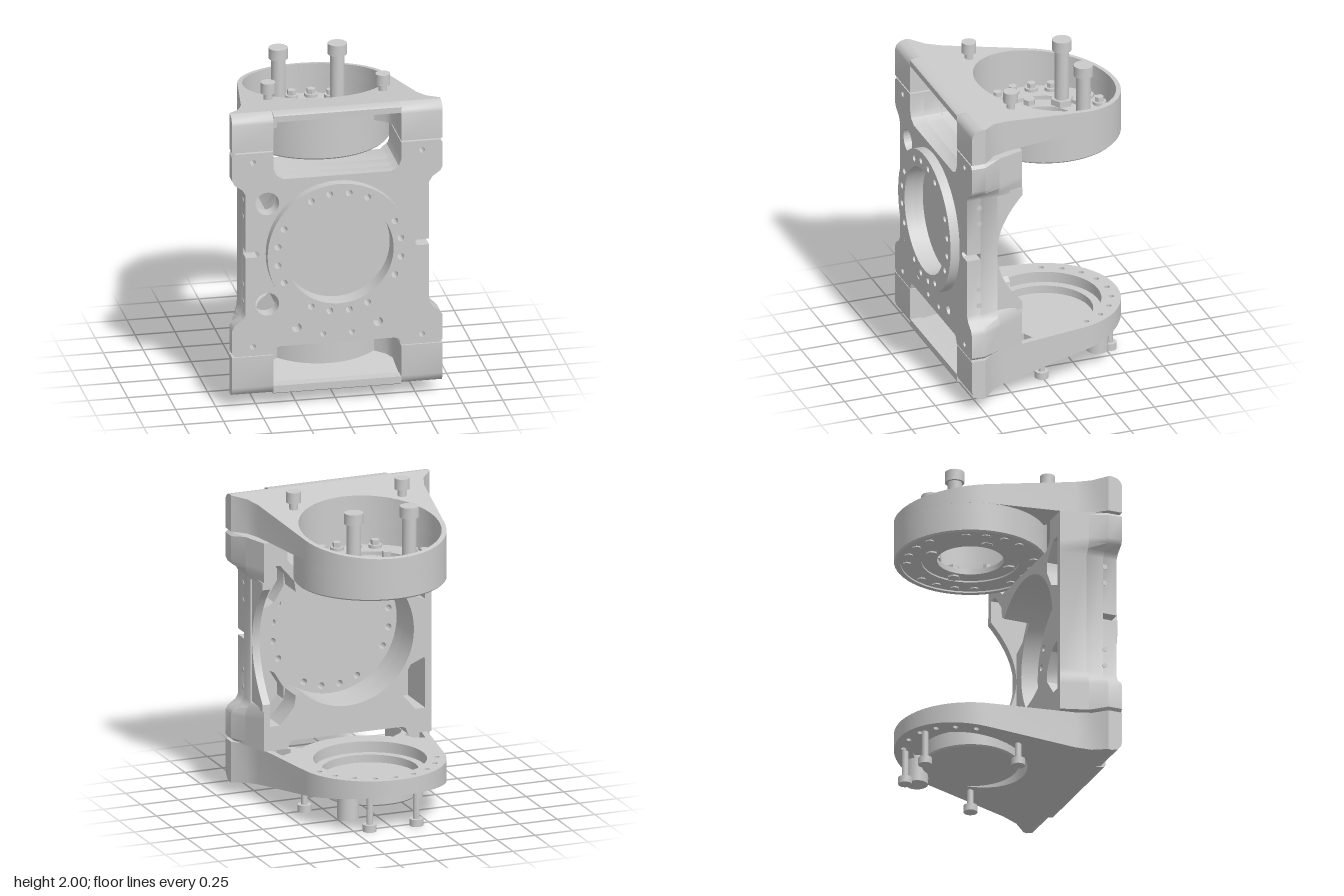
import * as THREE from 'three';
import { toCreasedNormals } from 'three/addons/utils/BufferGeometryUtils.js';

const MID = 1.015;      // height of the horizontal symmetry plane
const DZ = -0.16;       // z of the two joint axes
const BOLT_ANGLES = [9, 27, 63, 81, 99, 117, 153, 171, 189, 207, 243, 261, 279, 297, 333, 351]
  .map((a) => a * Math.PI / 180);

export function createModel() {
  const model = new THREE.Group();
  const mat = new THREE.MeshStandardMaterial({ color: 0xcccccc, side: THREE.DoubleSide });

  const add = (name, geo, parent) => {
    const mesh = new THREE.Mesh(toCreasedNormals(geo, 0.6), mat);
    mesh.name = name;
    parent.add(mesh);
  };
  const group = (name) => {
    const g = new THREE.Group();
    g.name = name;
    model.add(g);
    return g;
  };
  const poly = (pts) => new THREE.Shape(pts.map(([x, y]) => new THREE.Vector2(x, y)));
  const circle = (x, y, r) => new THREE.Path().absarc(x, y, r, 0, Math.PI * 2, true);
  const mirrorX = (half) => half.map(([x, y]) => [-x, y]).reverse();
  const mirrored = (half) => [...half, ...mirrorX(half)];
  const flipY = (pts) => pts.map(([x, y]) => [x, 2 * MID - y]).reverse();
  const arc = (cx, cy, r, a0, a1, n) => Array.from({ length: n + 1 }, (_, i) => {
    const a = a0 + (a1 - a0) * i / n;
    return [cx + r * Math.cos(a), cy + r * Math.sin(a)];
  });
  const move = (geo, rule) => {
    const p = geo.attributes.position;
    const v = new THREE.Vector3();
    for (let i = 0; i < p.count; i++) {
      rule(v.fromBufferAttribute(p, i));
      p.setXYZ(i, v.x, v.y, v.z);
    }
    return geo;
  };
  // slab standing between two z values
  const slabZ = (shape, z0, z1) =>
    new THREE.ExtrudeGeometry(shape, { depth: z1 - z0, bevelEnabled: false, curveSegments: 32 }).translate(0, 0, z0);
  // slab lying between two height functions of z, from a shape drawn in (x, z)
  const slabY = (shape, top, bottom) => move(
    new THREE.ExtrudeGeometry(shape, { depth: 1, bevelEnabled: false, curveSegments: 32 }).rotateX(Math.PI / 2),
    (v) => { v.y = v.y > -0.5 ? top(v.z) : bottom(v.z); });
  // slab between two x values, from points (z, y)
  const slabX = (pts, x0, x1) => new THREE.ExtrudeGeometry(poly(pts), { depth: x1 - x0, bevelEnabled: false })
    .rotateY(-Math.PI / 2).translate(x1, 0, 0);
  // rounded front edge of an arm
  const nose = (x0, x1, base, outer) => slabX(
    [[0.5, 0], [0.57, 0], [0.57, 0.76], [0.563, 0.86], [0.54, 0.96], [0.5, 1]]
      .map(([z, t]) => [z, base + (outer - base) * t]), x0, x1);
  const rod = (name, r, x, y0, y1, z, parent, sides = 16) =>
    add(name, new THREE.CylinderGeometry(r, r, y1 - y0, sides).translate(x, (y0 + y1) / 2, z), parent);
  const lathe = (pts) =>
    new THREE.LatheGeometry(pts.map(([r, y]) => new THREE.Vector2(r, y)), 64).translate(0, 0, DZ);

  // ---- central body ----
  const body = group('body');
  const lowerSide = [
    [0.36, 0.395], [0.385, 0.385], [0.4, 0.345], [0.64, 0.345], [0.66, 0.365], [0.66, 0.52],
    [0.645, 0.55], [0.595, 0.585], [0.575, 0.62],
  ];
  const slot = [[0.575, 0.995], [0.5, 0.995], [0.485, MID], [0.5, 1.035], [0.575, 1.035]];
  const upperSide = [...flipY(lowerSide.slice(2)), [0.4, 1.57], [0.385, 1.53], [0.34, 1.5]];
  const side = [...lowerSide, ...upperSide];
  const boltHoles = () => BOLT_ANGLES.map((a) => circle(0.39 * Math.cos(a), MID + 0.39 * Math.sin(a), 0.021));

  const plate = poly(mirrored([...lowerSide, ...slot, ...upperSide]));
  plate.holes.push(circle(0, MID, 0.34), ...boltHoles());
  for (const y of [0.68, 1.345]) plate.holes.push(circle(-0.44, y, 0.074));
  for (const s of [-1, 1]) {
    for (const [x, y, r] of [[0.255, 0.51, 0.03], [0.09, 0.455, 0.018], [0.53, 0.405, 0.018], [0.53, 1.625, 0.018]])
      plate.holes.push(circle(s * x, y, r));
  }
  add('frontPlate', slabZ(plate, 0.48, 0.57), body);

  // frame behind the plate: round opening and corner pockets, narrowing to the back
  const narrow = (v) => {
    const limit = v.z < 0.25 ? 0.555 : v.z < 0.4 ? 0.61 : 0.66;
    v.x = THREE.MathUtils.clamp(v.x, -limit, limit);
  };
  const pocket = [[0.355, 1.345], [0.42, 1.24], [0.515, 1.2], [0.515, 1.53], [0.45, 1.53], [0.355, 1.42]];
  const pockets = (s) => [pocket, flipY(pocket)].map((pts) => poly(pts.map(([x, y]) => [s * x, y])));
  const middle = poly(mirrored(side));
  middle.holes.push(circle(0, MID, 0.44), ...pockets(-1), ...pockets(1));
  add('middleFrame', move(slabZ(middle, 0.37, 0.48), narrow), body);

  // rear part is open towards the left side wall
  const inner = [[0.515, 0.62], [0.515, 0.5], [0.45, 0.5], [0.355, 0.61], [0.345, 0.68]];
  const rear = poly([
    ...lowerSide, ...inner, ...arc(0, MID, 0.44, -0.78, 0.78 - 2 * Math.PI, 48), ...flipY(inner),
    ...upperSide, ...mirrorX(side),
  ]);
  rear.holes.push(...pockets(-1));
  add('rearFrame', move(slabZ(rear, 0.2, 0.37), narrow), body);
  const hollow = Array.from({ length: 21 }, (_, i) => {
    const d = i / 10 - 1;
    return [0.2 + 0.17 * (1 - d * d), MID + 0.37 * d];
  });
  add('hollowedSideWall', slabX([[0.4, 1.43], [0.2, 1.43], ...hollow.reverse(), [0.2, 0.6], [0.4, 0.6]],
    0.515, 0.565), body);

  const ring = new THREE.Shape().absarc(0, MID, 0.45, 0, Math.PI * 2, false);
  ring.holes.push(circle(0, MID, 0.34), ...boltHoles());
  add('frontRing', slabZ(ring, 0.57, 0.63), body);
  add('centreCover', new THREE.CylinderGeometry(0.345, 0.345, 0.03, 64).rotateX(Math.PI / 2)
    .translate(0, MID, 0.495), body);
  for (const s of [-1, 1]) for (const y of [0.68, 0.79, 1.24, 1.35])
    add('sideBolt', new THREE.CylinderGeometry(0.018, 0.018, 0.02, 6).rotateZ(Math.PI / 2)
      .translate(s * 0.568, y, 0.49), body);

  // ---- arms ----
  const rise = (z) => 0.16 * (z - 0.5) / 1.12;
  const topOuter = (z) => 1.93 + rise(z);
  const lowOuter = (z) => 0.075 - rise(z);
  const level = (y) => () => y;
  const gap = [[0.4, 0.5], [0.4, 0.3], [0.37, 0.25], ...arc(0, DZ, 0.47, 0.87, 1.5, 10)];
  const armHalf = [
    ...arc(0, DZ, 0.47, -Math.PI / 2 + 0.04, -0.17, 28),
    [0.55, 0.3], [0.585, 0.4], [0.66, 0.48], [0.66, 0.5], ...gap,
  ];
  const armShape = (r) => {
    const s = poly(mirrored(armHalf));
    s.holes.push(circle(0, DZ, r));
    return s;
  };
  const noses = (parent, base, bridgeBase, outer) => {
    add('frontEdge', nose(0.4, 0.66, base, outer), parent);
    add('frontEdge', nose(-0.66, -0.4, base, outer), parent);
    add('bridgeEdge', nose(-0.4, 0.4, bridgeBase, outer), parent);
  };

  const upper = group('upperArm');
  add('upperFork', slabY(armShape(0.44), topOuter, level(1.695)), upper);
  add('upperBridge', slabY(poly(mirrored(gap)), topOuter, (z) => topOuter(z) - 0.05), upper);
  noses(upper, 1.695, 1.88, 1.93);
  add('upperDrum', lathe([
    [0.205, 1.52], [0.3, 1.52], [0.3, 1.51], [0.43, 1.51], [0.43, 1.5], [0.46, 1.5], [0.47, 1.51], [0.47, 1.695],
    [0.44, 1.695], [0.44, 1.58], [0.3, 1.58], [0.3, 1.555], [0.205, 1.555], [0.205, 1.52],
  ]), upper);
  for (const a of BOLT_ANGLES) {
    const x = 0.39 * Math.cos(a), z = DZ + 0.39 * Math.sin(a);
    rod('drumBoss', 0.042, x, 1.57, 1.6, z, upper);
    rod('drumBolt', 0.028, x, 1.502, 1.63, z, upper, 6);
  }
  for (const [x, z] of [[0, -0.42], [0, 0.1], [0.26, DZ], [-0.26, DZ]])
    rod('innerBolt', 0.038, x, 1.51, 1.59, z, upper, 6);
  for (const s of [-1, 1]) {
    rod('innerScrew', 0.026, s * 0.185, 1.54, 1.6, 0.03, upper, 6);
    rod('tallScrewShank', 0.045, s * 0.185, 1.54, 1.94, -0.345, upper);
    rod('tallScrewFoot', 0.07, s * 0.185, 1.56, 1.6, -0.345, upper, 6);
    rod('tallScrewHead', 0.06, s * 0.185, 1.93, 2, -0.345, upper);
    rod('shortScrewShank', 0.027, s * 0.36, 1.84, 1.95, 0.2, upper);
    rod('shortScrewHead', 0.046, s * 0.36, 1.93, 2, 0.2, upper);
  }

  const lower = group('lowerArm');
  const lowShape = armShape(0.35);
  for (const s of [-1, 1]) {
    const recess = [[0.41, 0.13], [0.475, 0.1], [0.51, 0.28], [0.44, 0.28], [0.38, 0.2]].map(([x, z]) => [s * x, z]);
    lowShape.holes.push(poly(recess));
    add('recessFloor', slabY(poly(recess), level(0.2), lowOuter), lower);
  }
  for (let i = 0; i < 9; i++) {
    const a = -Math.PI * (0.1 + 0.1 * i);
    lowShape.holes.push(circle(0.41 * Math.cos(a), DZ + 0.41 * Math.sin(a), 0.017));
  }
  add('lowerFork', slabY(lowShape, level(0.34), lowOuter), lower);
  add('lowerBridge', slabY(poly(mirrored(gap)), (z) => lowOuter(z) + 0.05, lowOuter), lower);
  noses(lower, 0.34, 0.135, 0.075);
  add('lowerSocket', lathe([
    [0, 0.125], [0.29, 0.125], [0.3, 0.135], [0.3, 0.23], [0.355, 0.23], [0.355, 0.27],
    [0.3, 0.27], [0.3, 0.22], [0, 0.22],
  ]), lower);
  rod('lowerPlug', 0.068, 0.25, 0.06, 0.24, -0.41, lower, 24);
  for (const s of [-1, 1]) {
    for (const [x, z] of [[0.37, 0], [0.155, -0.53]]) {
      rod('lowerScrewShank', 0.02, s * x, 0.03, 0.26, z, lower);
      rod('lowerScrewHead', 0.043, s * x, 0, 0.045, z, lower);
    }
  }
  return model;
}
